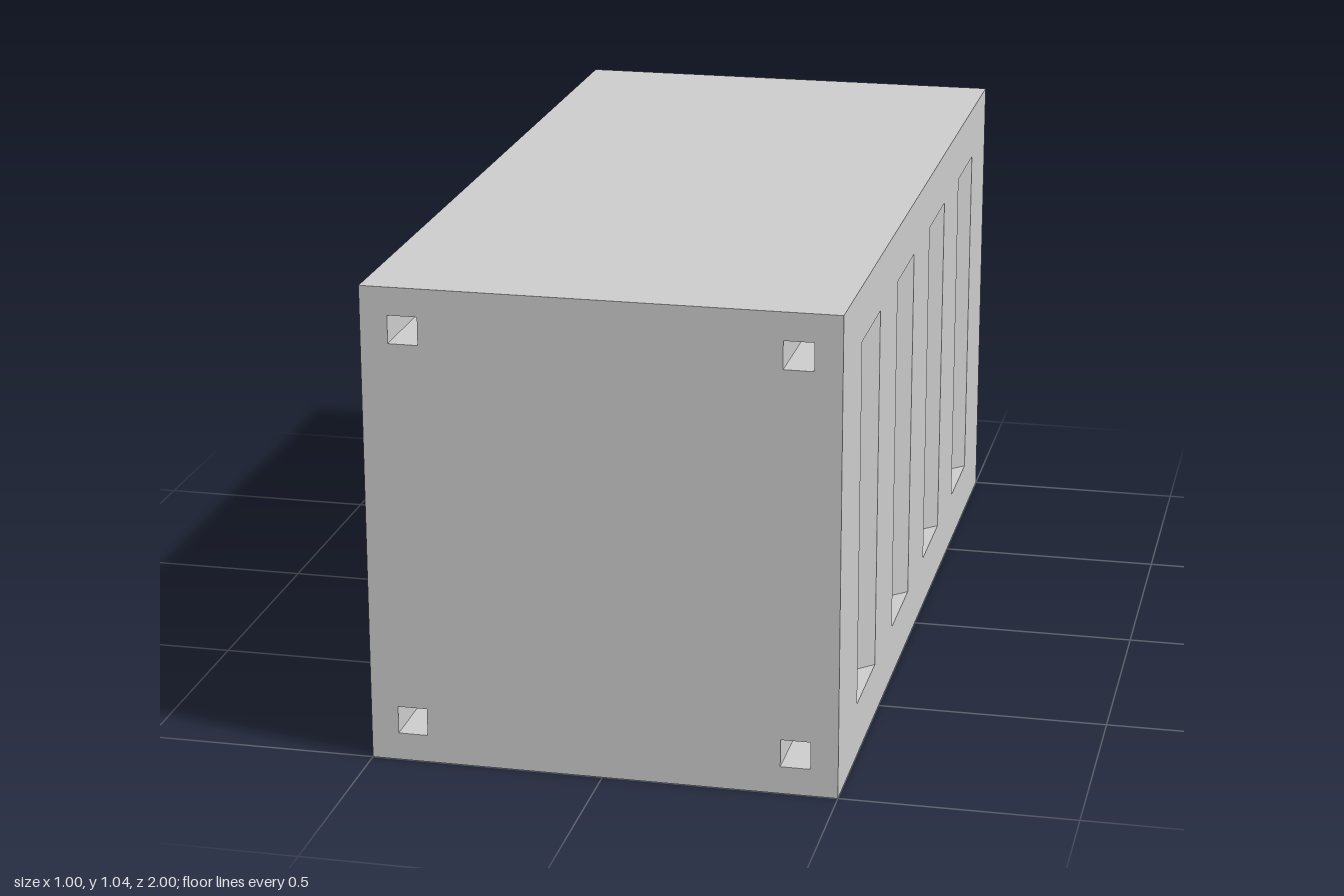
import * as THREE from 'three';

const W = 1, H = 1.04, L = 2;
const material = new THREE.MeshStandardMaterial({ color: 0xcccccc, flatShading: true });

// Corners of a rectangle, counter-clockwise
const rect = (cx, cy, w, h) => [[-1, -1], [1, -1], [1, 1], [-1, 1]]
  .map(([sx, sy]) => new THREE.Vector2(cx + sx * w / 2, cy + sy * h / 2));

function addMesh(group, name, geometry) {
  const mesh = new THREE.Mesh(geometry, material);
  mesh.name = name;
  group.add(mesh);
}

// Flat wall facing +z with rectangular openings
function wall(width, z, openings) {
  const shape = new THREE.Shape(rect(0, H / 2, width, H));
  shape.holes = openings.map(o => new THREE.Path(o));
  return new THREE.ShapeGeometry(shape).translate(0, 0, z);
}

// Inward-facing walls from an opening at z0 to an inner outline at z1, with optional floor
function pocket(outer, inner, z0, z1, floor) {
  const pos = [];
  const quad = (a, b, c, d) => [a, b, c, a, c, d].forEach(p => pos.push(...p));
  const o = outer.map(p => [p.x, p.y, z0]);
  const n = inner.map(p => [p.x, p.y, z1]);
  for (let i = 0; i < 4; i++) {
    const j = (i + 1) % 4;
    quad(o[i], o[j], n[j], n[i]);
  }
  if (floor) quad(...n);
  const geometry = new THREE.BufferGeometry();
  geometry.setAttribute('position', new THREE.Float32BufferAttribute(pos, 3));
  geometry.computeVertexNormals();
  return geometry;
}

export function createModel() {
  const model = new THREE.Group();
  model.name = 'block';

  // End walls and the four square channels running the full length
  const channels = [];
  for (const x of [-0.41, 0.41]) for (const y of [0.09, 0.95]) channels.push(rect(x, y, 0.063, 0.06));
  addMesh(model, 'frontWall', wall(W, L / 2, channels));
  addMesh(model, 'backWall', wall(W, L / 2, channels).rotateY(Math.PI));
  channels.forEach(c => addMesh(model, 'channel', pocket(c, c, L / 2, -L / 2, false)));

  // Long side walls with four bevelled recesses each
  const centres = [-0.669, -0.223, 0.223, 0.669];
  const openings = centres.map(c => rect(c, H / 2, 0.223, 0.8));
  for (const [name, angle] of [['left', Math.PI / 2], ['right', -Math.PI / 2]]) {
    const side = new THREE.Group();
    side.name = name + 'Side';
    side.rotation.y = angle;
    addMesh(side, 'sideWall', wall(L, W / 2, openings));
    centres.forEach((c, i) =>
      addMesh(side, 'recess', pocket(openings[i], rect(c, H / 2, 0.123, 0.8), W / 2, W / 2 - 0.05, true)));
    model.add(side);
  }

  // Top and bottom
  addMesh(model, 'top', new THREE.PlaneGeometry(W, L).rotateX(-Math.PI / 2).translate(0, H, 0));
  addMesh(model, 'bottom', new THREE.PlaneGeometry(W, L).rotateX(Math.PI / 2));
  return model;
}
